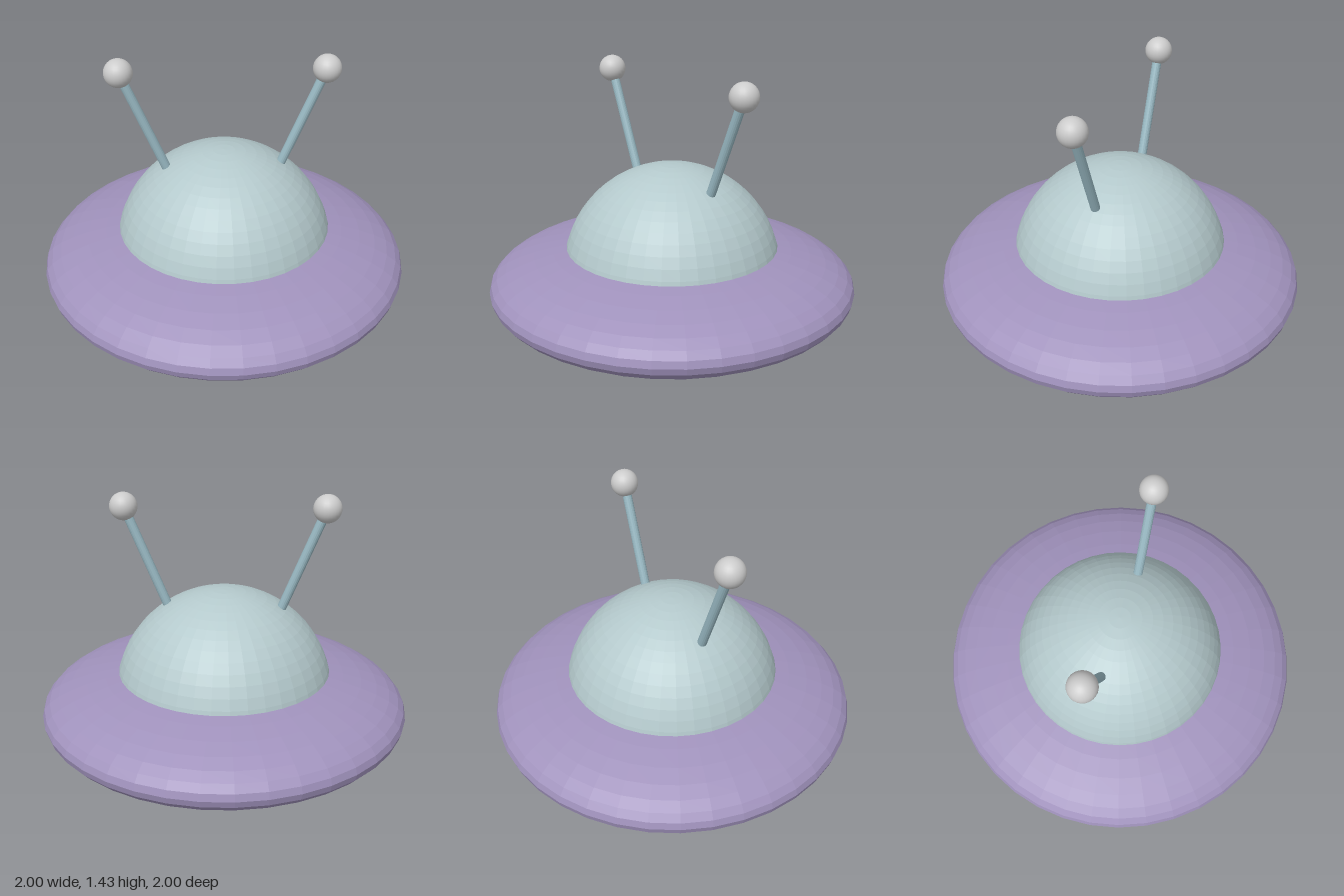
import * as THREE from 'three';

const material = (color) => new THREE.MeshStandardMaterial({ color, flatShading: true });

function addMesh(parent, name, geometry, mat) {
  const mesh = new THREE.Mesh(geometry, mat);
  mesh.name = name;
  parent.add(mesh);
  return mesh;
}

export function createModel() {
  const model = new THREE.Group();
  model.name = 'flyingSaucer';
  const hullMat = material(0xa092bc);
  const domeMat = material(0xb4c9cc);
  const rodMat = material(0x98b8c2);
  const tipMat = new THREE.MeshStandardMaterial({ color: 0xcccccc });

  // Flattened ellipsoid hull
  const hull = addMesh(model, 'hull', new THREE.SphereGeometry(1, 40, 22), hullMat);
  hull.scale.y = 0.25;
  hull.position.y = 0.25;

  // Cockpit dome, its lower rim sunk into the hull
  const dome = addMesh(model, 'dome',
    new THREE.SphereGeometry(0.6, 40, 16, 0, Math.PI * 2, 0, Math.PI / 2), domeMat);
  dome.position.y = 0.3;

  // Pair of splayed antennae with ball tips
  for (const [name, side, tipY] of [['leftAntenna', 1, 1.34], ['rightAntenna', -1, 1.353]]) {
    const antenna = new THREE.Group();
    antenna.name = name;
    const foot = new THREE.Vector3(side * 0.295, 0.775, 0);
    const tip = new THREE.Vector3(side * 0.527, tipY, 0);
    const dir = tip.clone().sub(foot);

    const rod = addMesh(antenna, 'antennaRod',
      new THREE.CylinderGeometry(0.025, 0.025, dir.length(), 16),
      rodMat);
    rod.position.copy(foot).lerp(tip, 0.5);
    rod.quaternion.setFromUnitVectors(new THREE.Vector3(0, 1, 0), dir.normalize());

    addMesh(antenna, 'antennaTip', new THREE.SphereGeometry(0.074, 24, 16), tipMat)
      .position.copy(tip);
    model.add(antenna);
  }
  return model;
}
